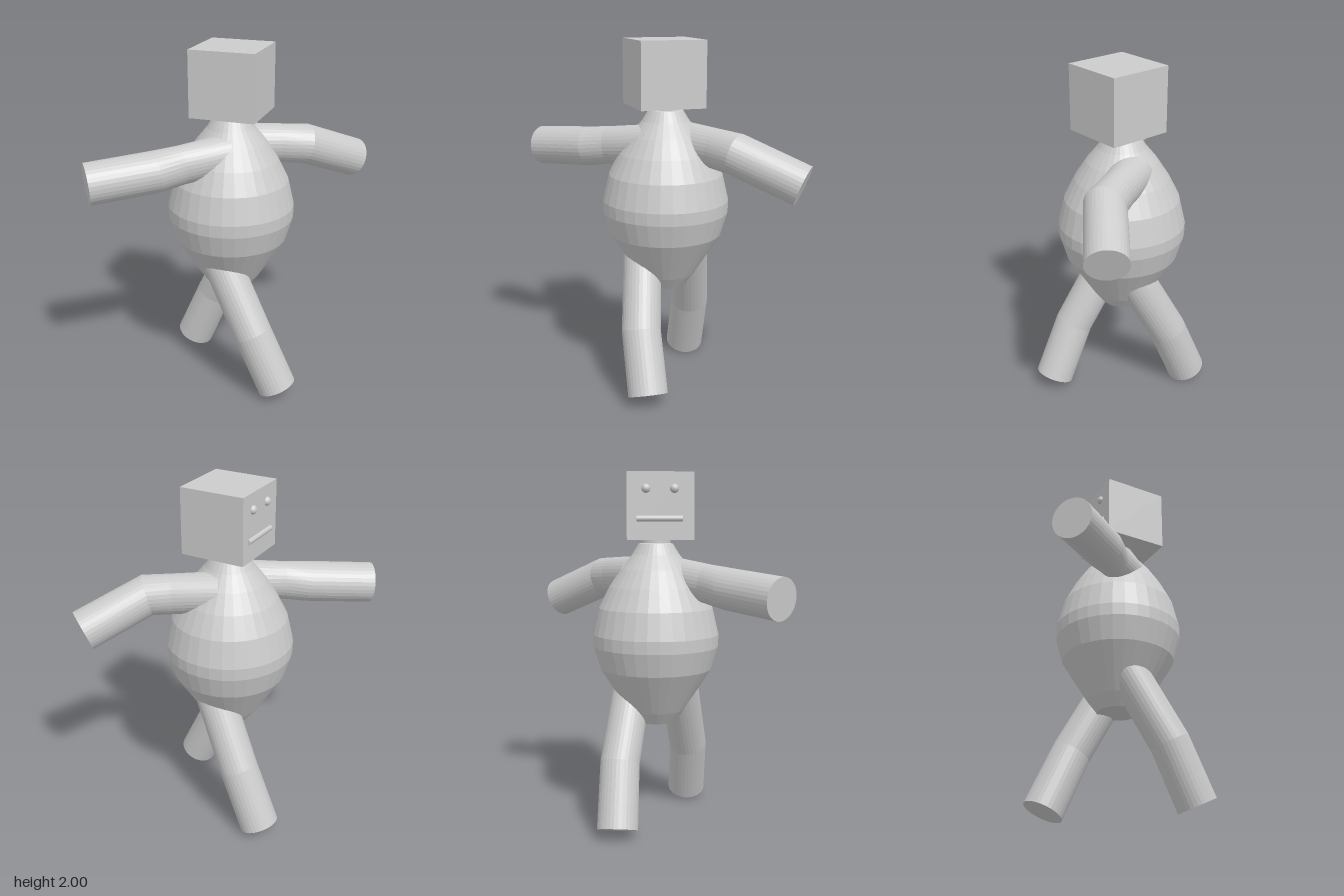
import * as THREE from 'three';

const flat = new THREE.MeshStandardMaterial({ color: 0xcccccc, flatShading: true });
const smooth = new THREE.MeshStandardMaterial({ color: 0xcccccc });

// Capped tube through rings [x, y, z, radius, widthScale]; joints are mitred
function limbGeometry(rings, ref, sides = 32) {
  const pts = rings.map(r => new THREE.Vector3(r[0], r[1], r[2]));
  const pos = [], index = [];
  pts.forEach((p, i) => {
    const before = pts[Math.max(i - 1, 0)], after = pts[Math.min(i + 1, pts.length - 1)];
    const n = new THREE.Vector3();
    if (before !== p) n.add(p.clone().sub(before).normalize());
    if (after !== p) n.add(after.clone().sub(p).normalize());
    n.normalize();
    const u = ref.clone().cross(n).normalize();
    const v = n.clone().cross(u);
    const [, , , r, w = 1] = rings[i];
    for (let k = 0; k < sides; k++) {
      const a = k / sides * Math.PI * 2;
      const q = p.clone().addScaledVector(u, Math.cos(a) * r * w).addScaledVector(v, Math.sin(a) * r);
      pos.push(q.x, q.y, q.z);
    }
  });
  const last = (pts.length - 1) * sides, c0 = pts.length * sides, c1 = c0 + 1;
  pos.push(...pts[0].toArray(), ...pts[pts.length - 1].toArray());
  for (let k = 0; k < sides; k++) {
    const m = (k + 1) % sides;
    for (let o = 0; o < last; o += sides) {
      index.push(o + k, o + m, o + sides + m, o + k, o + sides + m, o + sides + k);
    }
    index.push(c0, m, k, c1, last + k, last + m);
  }
  const g = new THREE.BufferGeometry();
  g.setAttribute('position', new THREE.Float32BufferAttribute(pos, 3));
  g.setIndex(index);
  g.computeVertexNormals();
  return g;
}

export function createModel() {
  const model = new THREE.Group();
  const add = (name, geometry, material, x = 0, y = 0, z = 0) => {
    const mesh = new THREE.Mesh(geometry, material);
    mesh.name = name;
    mesh.position.set(x, y, z);
    model.add(mesh);
    return mesh;
  };

  // Pear-shaped body with a short neck
  const profile = [
    [0, 0.59], [0.118, 0.59], [0.17, 0.66], [0.245, 0.78], [0.32, 0.9], [0.358, 1.03], [0.36, 1.1],
    [0.325, 1.25], [0.265, 1.37], [0.2, 1.47], [0.135, 1.55], [0.098, 1.61], [0.085, 1.615], [0.085, 1.645],
  ].map(([r, y]) => new THREE.Vector2(r, y));
  add('body', new THREE.LatheGeometry(profile, 32), flat, -0.005, 0, -0.025);

  // Cube head, its face turned towards -x
  add('head', new THREE.BoxGeometry(0.368, 0.365, 0.368), flat, 0.008, 1.8175, -0.01);
  for (const z of [-0.09, 0.065]) {
    add('eye', new THREE.SphereGeometry(0.025, 20, 14), smooth, -0.172, 1.91, z);
  }
  const mouth = add('mouth', new THREE.CylinderGeometry(0.016, 0.016, 0.25, 16), smooth, -0.174, 1.75, -0.015);
  mouth.rotation.x = Math.PI / 2;

  // Arms: shoulder, narrowed upper arm, elbow, hand end
  const up = new THREE.Vector3(0, 1, 0);
  add('frontArm', limbGeometry([
    [0.05, 1.43, 0.04, 0.112], [-0.19, 1.395, 0.25, 0.108, 0.85],
    [-0.3, 1.375, 0.345, 0.114], [-0.598, 1.345, 0.57, 0.114],
  ], up), flat);
  add('rearArm', limbGeometry([
    [0, 1.43, -0.13, 0.112], [0.22, 1.415, -0.245, 0.112, 0.9],
    [0.35, 1.405, -0.31, 0.114], [0.577, 1.26, -0.597, 0.114],
  ], up), flat);

  // Striding legs: hip, knee, foot end
  const side = new THREE.Vector3(0, 0, 1);
  add('frontLeg', limbGeometry([
    [-0.02, 0.79, 0.11, 0.11], [0.2, 0.39, 0.185, 0.111], [0.355, 0.065, 0.193, 0.112],
  ], side), flat);
  add('rearLeg', limbGeometry([
    [0.02, 0.79, -0.16, 0.11], [-0.185, 0.39, -0.24, 0.111], [-0.335, 0.048, -0.26, 0.114],
  ], side), flat);

  return model;
}
